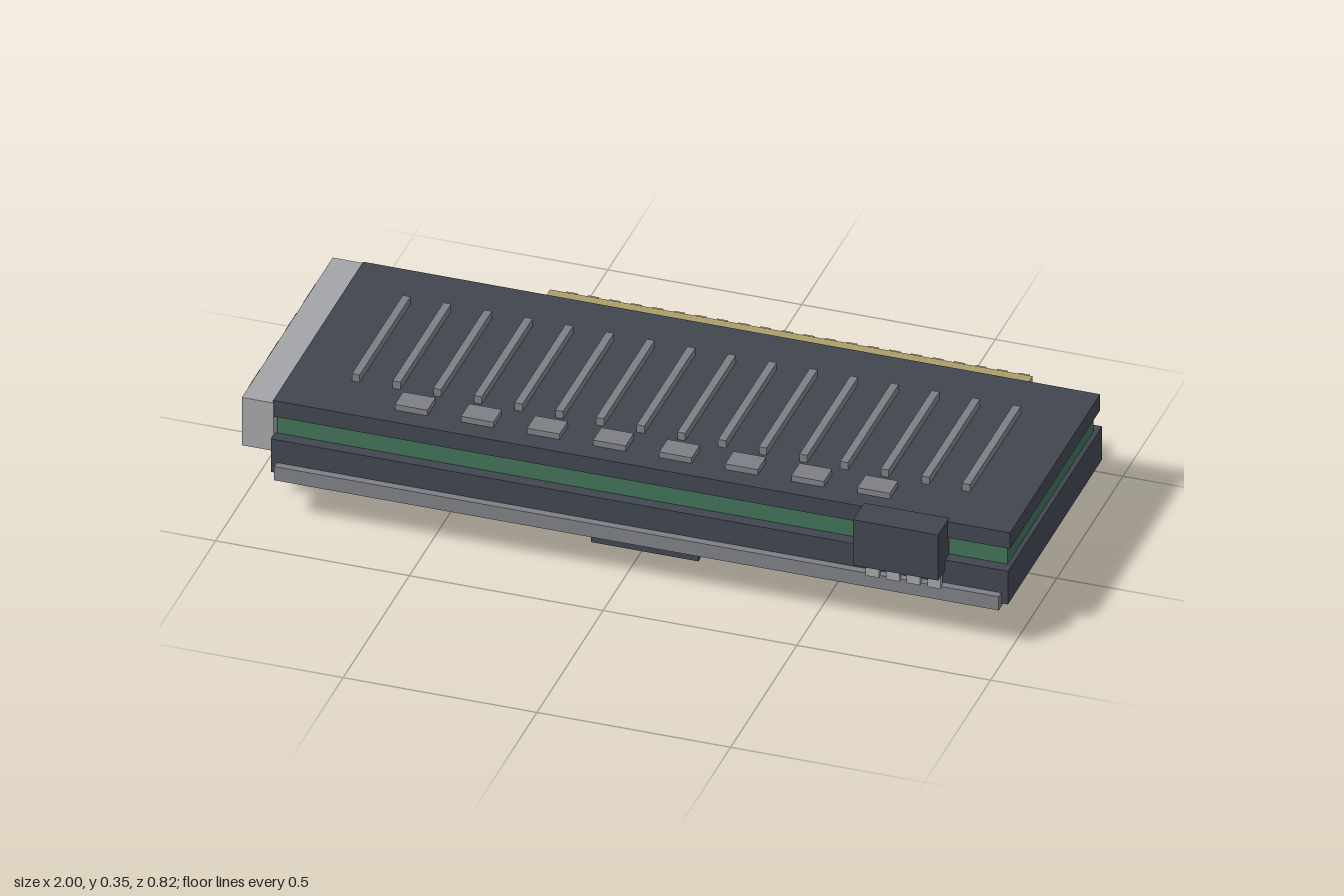
import * as THREE from 'three';

const mat = (name, color) => {
  const m = new THREE.MeshStandardMaterial({ color });
  m.name = name;
  return m;
};

export function createModel() {
  const dark = mat('charcoal', 0x40454f);
  const green = mat('board green', 0x3f7057);
  const grey = mat('mid grey', 0x7c7f84);
  const light = mat('light grey', 0xa2a4a7);
  const gold = mat('gold', 0xab9d6a);
  const red = mat('red', 0xa84a52);

  const model = new THREE.Group();
  model.name = 'graphicsCard';

  const add = (name, geometry, material, parent = model) => {
    const mesh = new THREE.Mesh(geometry, material);
    mesh.name = name;
    parent.add(mesh);
    return mesh;
  };
  // Box given by its limits along each axis
  const box = (name, m, x0, x1, y0, y1, z0, z1, parent = model) => {
    const mesh = add(name, new THREE.BoxGeometry(x1 - x0, y1 - y0, z1 - z0), m, parent);
    mesh.position.set((x0 + x1) / 2, (y0 + y1) / 2, (z0 + z1) / 2);
    return mesh;
  };
  // Upright cylinder between two heights
  const disc = (name, m, r, y0, y1, x, z, parent = model) => {
    const mesh = add(name, new THREE.CylinderGeometry(r, r, y1 - y0, 32), m, parent);
    mesh.position.set(x, (y0 + y1) / 2, z);
    return mesh;
  };

  // Layered body
  box('shroud', dark, -0.905, 0.997, 0.135, 0.23, -0.351, 0.36);
  box('circuitBoard', green, -0.9, 0.985, 0.23, 0.285, -0.322, 0.329);
  box('backplate', dark, -0.905, 0.997, 0.285, 0.331, -0.336, 0.344);
  box('frontRail', grey, -0.89, 0.98, 0.126, 0.165, 0.34, 0.38);
  box('rearRail', grey, -0.89, 0.98, 0.126, 0.165, -0.371, -0.332);

  // Backplate ribs and chips
  for (let i = 0; i < 16; i++) {
    const x = -0.742 + i * 0.105;
    box('backplateRib', grey, x - 0.01, x + 0.01, 0.33, 0.352, -0.188, 0.196);
  }
  for (let i = 0; i < 8; i++) {
    const x = -0.567 + i * 0.1705;
    box('chip', grey, x - 0.042, x + 0.042, 0.33, 0.347, 0.228, 0.29);
  }

  // Mounting bracket with ports
  box('bracket', light, -0.985, -0.903, 0.187, 0.324, -0.341, 0.345);
  for (let i = 0; i < 4; i++) {
    const z = -0.206 + i * 0.1375;
    box('port', dark, -1, -0.98, 0.2, 0.297, z - 0.043, z + 0.043);
  }

  // Power socket with pins
  box('powerSocket', dark, 0.615, 0.835, 0.202, 0.333, 0.33, 0.413);
  for (let i = 0; i < 4; i++) {
    const x = 0.655 + i * 0.053;
    box('powerPin', light, x - 0.017, x + 0.017, 0.16, 0.21, 0.37, 0.384);
  }

  // Edge connector with contacts
  box('edgeConnector', gold, -0.445, 0.8, 0.199, 0.304, -0.403, -0.32);
  for (let i = 0; i < 22; i++) {
    const x = -0.392 + i * 0.0556;
    box('contact', gold, x - 0.014, x + 0.014, 0.195, 0.301, -0.412, -0.4);
  }

  // Two fans under the shroud
  for (const x of [-0.42, 0.515]) {
    const fan = new THREE.Group();
    fan.name = 'fan';
    fan.position.set(x, 0, 0.004);
    model.add(fan);
    const ring = add('fanRing', new THREE.TorusGeometry(0.256, 0.025, 12, 48), grey, fan);
    ring.rotation.x = Math.PI / 2;
    ring.position.y = 0.123;
    disc('fanHub', grey, 0.084, 0.063, 0.135, 0, 0, fan);
    disc('hubCap', light, 0.055, 0.033, 0.064, 0, 0, fan);
    disc('axle', red, 0.018, 0, 0.034, 0, 0, fan);
    for (let i = 0; i < 9; i++) {
      const arm = new THREE.Group();
      arm.name = 'bladeArm';
      arm.rotation.y = (i / 9) * Math.PI * 2;
      fan.add(arm);
      box('blade', grey, 0.07, 0.225, 0.092, 0.108, -0.022, 0.022, arm);
    }
  }

  // Centre brace, front tab and accent strip
  box('centreBrace', grey, 0, 0.093, 0.092, 0.136, -0.25, 0.25);
  box('frontTab', dark, -0.095, 0.182, 0.068, 0.095, 0.206, 0.313);
  box('accentStrip', red, -0.7, 0.74, 0.115, 0.127, -0.311, -0.298);

  // Corner screws
  for (const x of [-0.778, 0.869])
    for (const z of [-0.274, 0.282]) disc('screw', light, 0.019, 0.104, 0.136, x, z);

  return model;
}
